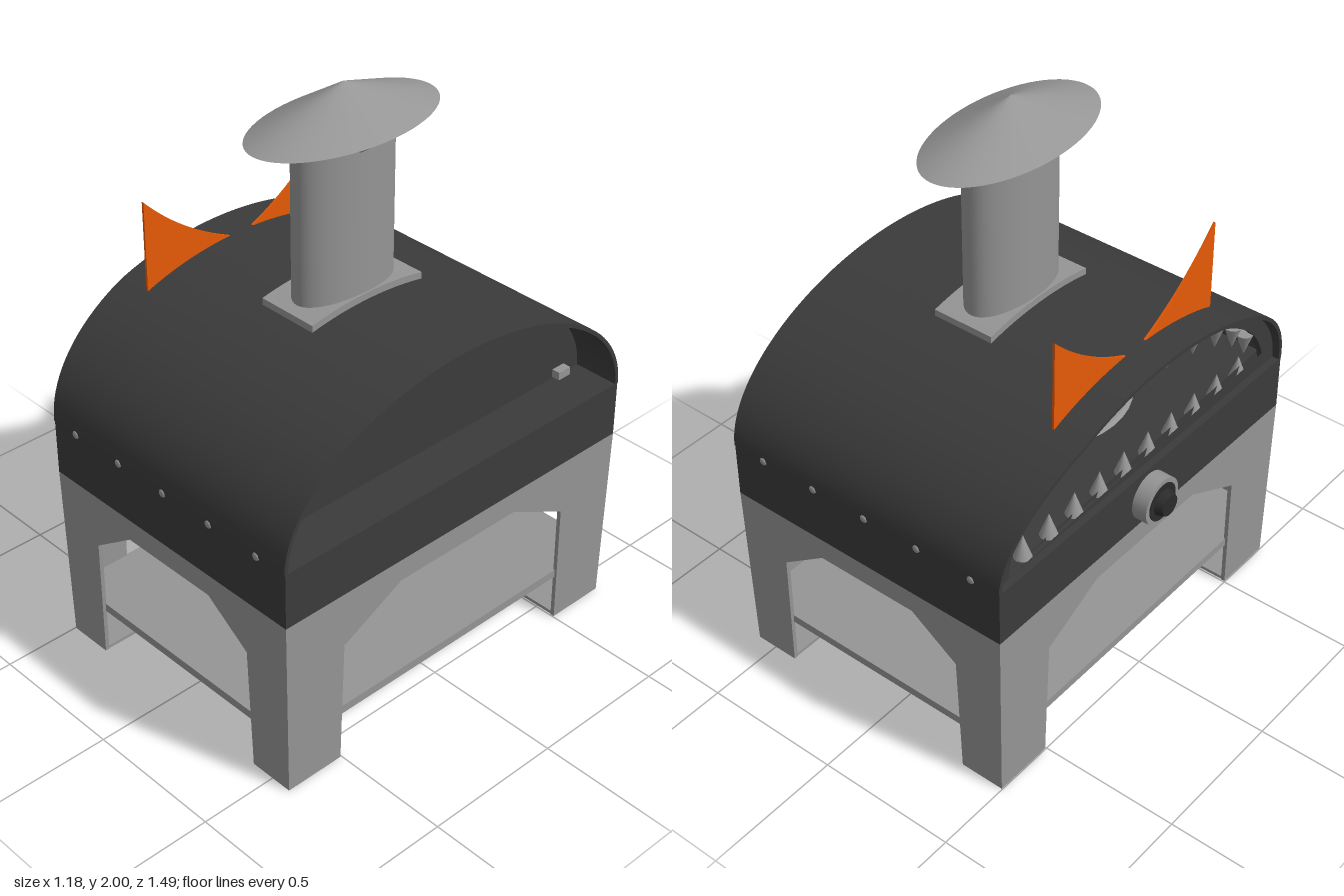
import * as THREE from 'three';
import { toCreasedNormals } from 'three/addons/utils/BufferGeometryUtils.js';

const material = (name, color, side) => {
  const m = new THREE.MeshStandardMaterial({ color, side });
  m.name = name;
  return m;
};
const charcoal = material('charcoal', 0x3b3b3b, THREE.DoubleSide);
const steel = material('steel grey', 0x959595, THREE.DoubleSide);
const orange = material('orange', 0xe65a06, THREE.DoubleSide);
const black = material('black', 0x2b2b2b, THREE.FrontSide);

const XB = 0.585, XF = -0.505, ZW = 0.735, SILL = 0.858, RISE = 0.442, CX = 0.052;

export function createModel() {
  const model = new THREE.Group();

  function add(name, geo, mat, x = 0, y = 0, z = 0) {
    const m = new THREE.Mesh(geo, mat);
    m.name = name;
    m.position.set(x, y, z);
    model.add(m);
    return m;
  }
  // box given by its limits
  const block = (name, mat, x0, x1, y0, y1, z0, z1) =>
    add(name, new THREE.BoxGeometry(x1 - x0, y1 - y0, z1 - z0), mat, (x0 + x1) / 2, (y0 + y1) / 2, (z0 + z1) / 2);
  // plate drawn in (z, y), spanning x - depth .. x
  function plateX(name, shape, mat, x, depth) {
    const geo = new THREE.ExtrudeGeometry(shape, { depth, bevelEnabled: false, curveSegments: 32 });
    geo.rotateY(-Math.PI / 2).translate(x, 0, 0);
    return add(name, toCreasedNormals(geo, 0.6), mat);
  }
  const polygon = pts => new THREE.Shape(pts.map(p => new THREE.Vector2(...p)));
  const archShape = (rz, ry) => {
    const s = new THREE.Shape();
    s.absellipse(0, SILL, rz, ry, 0, Math.PI, false, 0);
    s.closePath();
    return s;
  };
  // narrow a stand part slightly towards the floor
  function taper(geo) {
    const p = geo.attributes.position;
    for (let i = 0; i < p.count; i++) {
      const f = 1 - 0.015 * (1 - p.getY(i) / 0.657);
      p.setX(i, p.getX(i) * f);
      p.setZ(i, p.getZ(i) * f);
    }
    geo.computeVertexNormals();
  }

  // Stand: four sheet sides with legs cut out
  const side = (o0, o1, i0, i1, t0, t1) => polygon([
    [o0, 0], [i0 - 0.015, 0], [i0, 0.455], [t0, 0.577], [t1, 0.577], [i1, 0.455],
    [i1 + 0.015, 0], [o1, 0], [o1, 0.657], [o0, 0.657]]);
  const longShape = side(XF, XB, -0.325, 0.403, -0.15, 0.23);
  for (const z of [ZW - 0.015, -ZW]) {
    const geo = new THREE.ExtrudeGeometry(longShape, { depth: 0.015, bevelEnabled: false }).translate(0, 0, z);
    taper(geo);
    add('standSide', geo, steel);
  }
  const endShape = side(-ZW, ZW, -0.497, 0.497, -0.255, 0.255);
  for (const x of [XB, XF + 0.015]) taper(plateX('standEnd', endShape, steel, x, 0.015).geometry);
  for (const [x0, x1] of [[-0.494, -0.337], [0.413, 0.574]])
    for (const s of [-1, 1])
      block('foot', steel, x0, x1, 0, 0.012, s > 0 ? 0.507 : -0.722, s > 0 ? 0.722 : -0.507);
  block('shelf', steel, -0.49, 0.57, 0.17, 0.2, -0.715, 0.715);

  // Vaulted underside, sloping down to each leg like the cut-outs
  const gx = [XF + 0.014, -0.325, -0.15, 0.23, 0.403, XB - 0.014];
  const gz = [-ZW + 0.014, -0.497, -0.255, 0.255, 0.497, ZW - 0.014];
  const level = i => (i === 2 || i === 3 ? 1 : 0);
  const vault = [];
  const node = (i, j) => [gx[i], 0.457 + 0.122 * Math.max(level(i), level(j)), gz[j]];
  for (let i = 0; i < 5; i++) for (let j = 0; j < 5; j++) {
    const a = node(i, j), b = node(i + 1, j), c = node(i + 1, j + 1), d = node(i, j + 1);
    if ((i - 2) * (j - 2) >= 0) vault.push(...a, ...b, ...c, ...a, ...c, ...d);
    else vault.push(...a, ...b, ...d, ...b, ...c, ...d);
  }
  const vaultGeo = new THREE.BufferGeometry();
  vaultGeo.setAttribute('position', new THREE.Float32BufferAttribute(vault, 3));
  vaultGeo.computeVertexNormals();
  add('standVault', vaultGeo, steel);

  // Oven body
  block('ovenBase', charcoal, XF, XB, 0.657, SILL, -ZW, ZW);

  // Hood: arched shell whose open end leans forward at the top
  const pos = [], idx = [], N = 56;
  for (let i = 0; i <= N; i++) {
    const a = Math.PI * i / N, c = Math.cos(a), s = Math.sin(a);
    const xf = XF - 0.045 * Math.pow(Math.min(1, s * RISE / 0.37), 1.5);
    for (const [x, t] of [[xf, 0], [XB, 0], [XB, 0.014], [xf, 0.014]])
      pos.push(x, SILL + s * (RISE - t), c * (ZW + 0.003 - t));
    if (i < N) for (let j = 0; j < 4; j++) {
      const p = i * 4 + j, q = i * 4 + (j + 1) % 4;
      idx.push(p, q, q + 4, p, q + 4, p + 4);
    }
  }
  const hood = new THREE.BufferGeometry();
  hood.setAttribute('position', new THREE.Float32BufferAttribute(pos, 3));
  hood.setIndex(idx);
  add('hood', toCreasedNormals(hood, 0.6), charcoal);

  // Recessed closed end and its two tabs
  plateX('rearPanel', archShape(0.726, 0.43), charcoal, 0.42, 0.015);
  for (const z of [-0.626, 0.626]) block('rearTab', steel, 0.42, 0.45, SILL + 0.006, 0.893, z - 0.027, z + 0.027);

  // Mouth frame with arched opening
  const frame = archShape(0.726, 0.43);
  const hole = new THREE.Path();
  hole.absellipse(0, SILL + 0.001, 0.66, 0.375, 0, Math.PI, false, 0);
  hole.closePath();
  frame.holes.push(hole);
  plateX('mouthFrame', frame, charcoal, -0.46, 0.02);

  // Teeth along the sill and the arch
  const tooth = new THREE.ConeGeometry(0.03, 0.085, 16);
  for (let i = 0; i < 10; i++) add('lowerTooth', tooth, steel, -0.45, SILL + 0.042, -0.56 + 0.1245 * i);
  for (let i = 0; i < 11; i++) {
    const a = Math.PI * (0.13 + 0.74 * i / 10);
    add('upperTooth', tooth, steel, -0.45, SILL + 0.355 * Math.sin(a) - 0.02, 0.64 * Math.cos(a)).rotation.x = Math.PI;
  }

  // Round tray on the oven floor
  add('floorDisc', new THREE.CylinderGeometry(0.31, 0.32, 0.012, 40), steel, 0.03, SILL + 0.006, 0.1);

  // Dial below the mouth
  const dial = (name, r0, r1, x0, x1, mat) => {
    const g = new THREE.CylinderGeometry(r1, r0, x1 - x0, 32);
    g.rotateZ(-Math.PI / 2);
    add(name, g, mat, (x0 + x1) / 2, 0.753, 0);
  };
  dial('dialRim', 0.085, 0.085, -0.56, XF, steel);
  dial('dialFace', 0.068, 0.068, -0.563, -0.555, black);
  dial('dialKnob', 0.038, 0.048, -0.591, -0.56, black);

  // Rivets along both long sides
  for (let i = 0; i < 5; i++)
    for (const s of [-1, 1])
      add('rivet', new THREE.SphereGeometry(0.014, 12, 8), steel, -0.395 + 0.2135 * i, 0.857, s * (ZW + 0.002)).scale.z = 0.4;

  // Pointed ears
  for (const s of [-1, 1]) {
    const ear = new THREE.Shape();
    ear.moveTo(s * 0.395, 1.22);
    ear.lineTo(s * 0.395, 1.55);
    ear.quadraticCurveTo(s * 0.24, 1.385, s * 0.05, 1.3);
    ear.lineTo(s * 0.05, 1.28);
    plateX('ear', ear, orange, -0.426, 0.008);
  }

  // Chimney collar follows the hood
  const collar = [];
  for (let i = 0; i <= 16; i++) {
    const z = -0.235 + 0.47 * i / 16;
    collar.push([z, SILL + RISE * Math.sqrt(1 - (z / ZW) ** 2) + 0.024]);
  }
  collar.push([0.235, 1.265], [-0.235, 1.265]);
  plateX('chimneyCollar', polygon(collar), steel, 0.165, 0.226);

  // Oval chimney
  add('chimney', new THREE.CylinderGeometry(1, 1, 0.56, 48, 1, true), steel, CX, 1.54, 0).scale.set(0.107, 1, 0.195);

  // Flared brackets between chimney and cap
  function bracket(r0, r1, w0, w1, turn) {
    const g = new THREE.BoxGeometry(0.01, 0.066, 2);
    const p = g.attributes.position;
    for (let i = 0; i < p.count; i++) {
      const top = p.getY(i) > 0;
      p.setX(i, p.getX(i) + (top ? r1 : r0));
      p.setZ(i, p.getZ(i) * (top ? w1 : w0));
    }
    g.computeVertexNormals();
    add('capBracket', g, steel, CX, 1.847, 0).rotation.y = turn * Math.PI / 2;
  }
  for (const t of [0, 2]) bracket(0.103, 0.163, 0.033, 0.055, t);
  for (const t of [1, 3]) bracket(0.191, 0.282, 0.018, 0.031, t);

  // Oval cap
  add('chimneyCap', new THREE.ConeGeometry(1, 0.125, 64, 1, true), steel, CX, 1.9375, 0).scale.set(0.196, 1, 0.36);

  return model;
}
